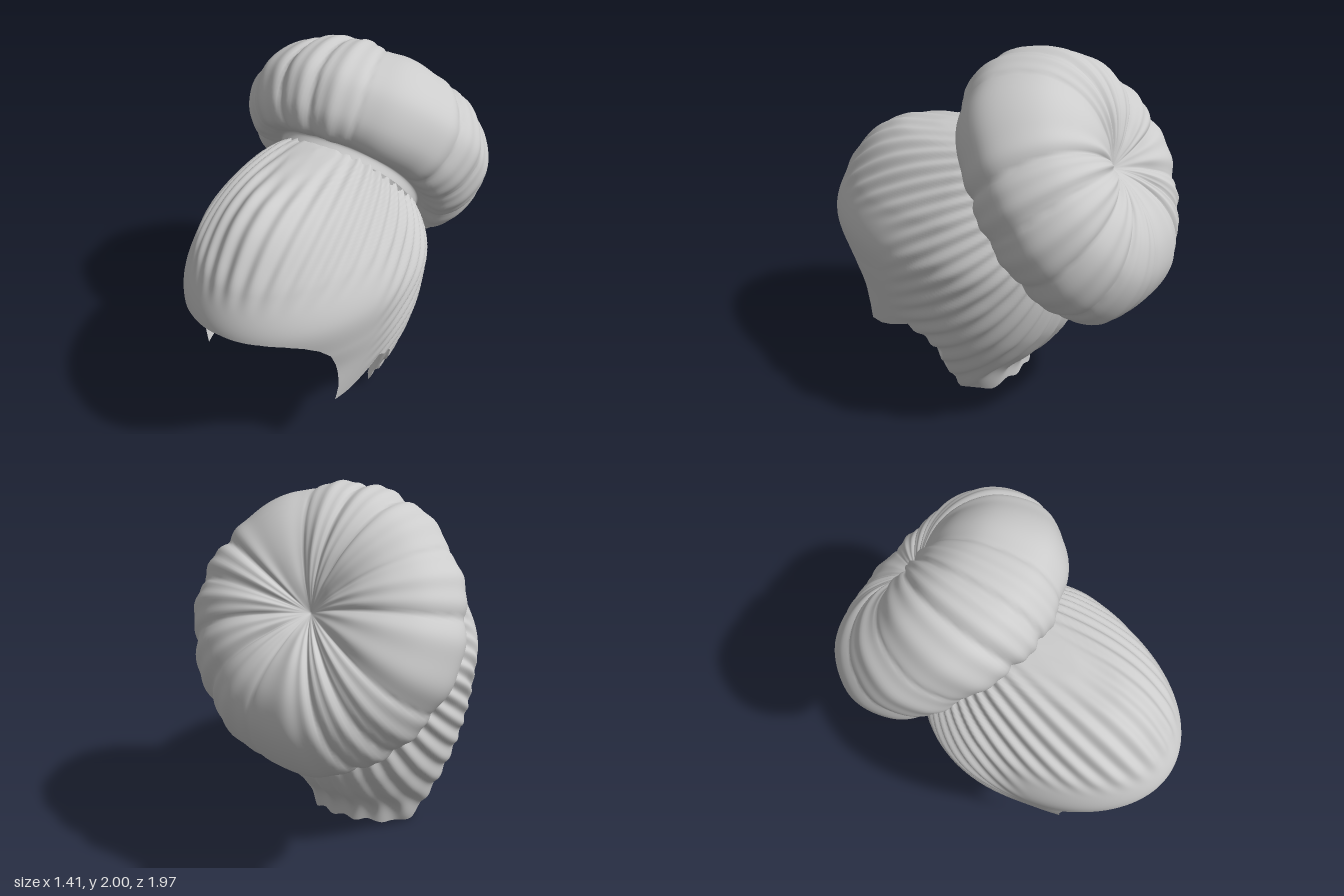
import * as THREE from 'three';
import { mergeVertices } from 'three/addons/utils/BufferGeometryUtils.js';

const mat = new THREE.MeshStandardMaterial({ color: 0xcccccc, side: THREE.DoubleSide });
const { smoothstep, clamp, lerp } = THREE.MathUtils;

// Bun frame: centre and tilt; its axis points up and back
const BUN = new THREE.Vector3(0, 1.315, -0.425);
const TILT = -0.992;

// Cap sections by height: y, half width, reach to the front, reach to the back (from z = CZ)
const CZ = 0.08;
const SECTIONS = [
  [0, 0.32, 1.0, 0.285], [0.15, 0.395, 1.0, 0.3], [0.3, 0.46, 0.96, 0.43], [0.4, 0.495, 0.92, 0.5],
  [0.5, 0.525, 0.87, 0.555], [0.65, 0.56, 0.82, 0.59], [0.8, 0.58, 0.86, 0.6], [1.0, 0.588, 0.89, 0.58],
  [1.2, 0.51, 0.81, 0.5], [1.3, 0.44, 0.745, 0.43], [1.4, 0.35, 0.655, 0.33], [1.46, 0.275, 0.565, 0.25],
  [1.5, 0.2, 0.455, 0.18], [1.53, 0.1, 0.24, 0.09], [1.54, 0, 0, 0],
];

// Lower edge of the cap as z, y: brow and sideburn, then each side behind the ear, then half the nape
const BROW = [[0.968, 0.985], [0.92, 0.972], [0.86, 0.955], [0.79, 0.92], [0.72, 0.865], [0.656, 0.79],
  [0.6, 0.65], [0.58, 0.5], [0.585, 0.4]];
const LEFT_EAR = [[0.51, 0.405], [0.43, 0.44], [0.286, 0.52], [0.19, 0.48], [0.11, 0.41], [0.1, 0.23], [0.06, 0.03]];
const RIGHT_EAR = [[0.47, 0.39], [0.35, 0.36], [0.25, 0.32], [0.19, 0.27], [0.11, 0.15], [0.06, 0.03]];
const NAPE = [[0, 0], [-0.1, 0.01], [-0.17, 0.04], [-0.205, 0.045]];

// Smooth interpolation in the section table
function section(y, k) {
  const T = SECTIONS, n = T.length - 1;
  let i = 0;
  while (i < n - 1 && y > T[i + 1][0]) i++;
  const slope = (j) => {
    const a = T[Math.max(j - 1, 0)], b = T[Math.min(j + 1, n)];
    return (b[k] - a[k]) / (b[0] - a[0]);
  };
  const h = T[i + 1][0] - T[i][0];
  const t = clamp((y - T[i][0]) / h, 0, 1);
  if (i >= n - 2) return lerp(T[i][k], T[i + 1][k], t);
  const t2 = t * t, t3 = t2 * t;
  return (2 * t3 - 3 * t2 + 1) * T[i][k] + (t3 - 2 * t2 + t) * h * slope(i)
    + (3 * t2 - 2 * t3) * T[i + 1][k] + (t3 - t2) * h * slope(i + 1);
}

// Edge of one side as [angle from the front, height]
function edgeAngles(ear) {
  const list = [...BROW, ...ear, ...NAPE].map(([z, y]) => {
    const c = (z - CZ) / section(y, z > CZ ? 2 : 3);
    return [Math.acos(clamp(c, -1, 1)), y];
  });
  list[0][0] = 0;
  list[list.length - 1][0] = Math.PI;
  return list;
}

// Coordinates of a point in the bun's frame
const inBun = (p) => p.clone().sub(BUN).applyAxisAngle(new THREE.Vector3(1, 0, 0), -TILT);

// Point on the cap; strands are ridges that fan out from the bun's axis
function capPoint(a, y) {
  const c = Math.cos(a);
  const p = new THREE.Vector3(section(y, 1) * Math.sin(a), y, CZ + c * section(y, c > 0 ? 2 : 3));
  const b = inBun(p);
  const hairline = smoothstep(p.z, 0.1, 0.45) * (1 - smoothstep(y, 1.1, 1.3));
  const amp = 0.01 * (1 - hairline) * smoothstep(1.54 - y, 0, 0.05);
  const out = p.clone().sub(new THREE.Vector3(0, 0.85, CZ)).normalize();
  return p.addScaledVector(out, amp * Math.sin(42 * Math.atan2(b.x, b.z)));
}

// Open sheet: level rows that stop at the edge, with an opening under the bun
function capGeometry() {
  const left = edgeAngles(LEFT_EAR);
  const right = edgeAngles(RIGHT_EAR).map(([a, y]) => [2 * Math.PI - a, y]).reverse();
  const edge = [...left, ...right.slice(1)];
  const cols = [edge[0]];
  for (let i = 1; i < edge.length; i++) {
    const [a0, y0] = edge[i - 1], [a1, y1] = edge[i];
    const n = Math.max(1, Math.ceil(Math.abs(a1 - a0) / 0.022));
    for (let j = 1; j <= n; j++) cols.push([lerp(a0, a1, j / n), lerp(y0, y1, j / n)]);
  }
  const R = 120, rows = R + 1, pts = [], idx = [];
  const face = (...f) => {
    const m = new THREE.Vector3();
    f.forEach((k) => m.addScaledVector(pts[k], 1 / 3));
    const b = inBun(m);
    if (b.y < -0.5 || Math.hypot(b.x, b.z) > 0.41) idx.push(...f);
  };
  cols.forEach(([a, low], i) => {
    for (let j = 0; j <= R; j++) {
      const y = 1.54 * (1 - Math.pow(j / R, 1.5));
      pts.push(capPoint(a, Math.max(y, low)));
      if (!i || !j) continue;
      const d = i * rows + j - 1, e = d - rows;
      if (pts[e].y !== pts[e + 1].y) face(e, e + 1, d + 1);
      if (pts[d].y !== pts[d + 1].y) face(e, d + 1, d);
    }
  });
  let g = new THREE.BufferGeometry().setFromPoints(pts);
  g.setIndex(idx);
  g = mergeVertices(g, 1e-5);
  g.computeVertexNormals();
  return g;
}

// Pumpkin-shaped bun: a lathe with irregular soft lobes, a pinched centre and a collar on the cap;
// its two sides bend back, away from the cap
function bunGeometry() {
  const profile = [
    [0.43, -0.27], [0.44, -0.22], [0.51, -0.25], [0.6, -0.26], [0.69, -0.18], [0.735, -0.02], [0.69, 0.14],
    [0.59, 0.28], [0.45, 0.36], [0.3, 0.38], [0.16, 0.35], [0.06, 0.3], [0, 0.26],
  ].map(([r, y]) => new THREE.Vector2(r, y));
  const pts = new THREE.SplineCurve(profile).getPoints(72);
  pts.forEach((p) => { p.x = Math.max(p.x, 0); });
  let g = new THREE.LatheGeometry(pts, 240);
  const P = g.attributes.position, p = new THREE.Vector3(), core = new THREE.Vector3();
  for (let i = 0; i < P.count; i++) {
    p.fromBufferAttribute(P, i);
    const r = Math.hypot(p.x, p.z);
    const phi = Math.atan2(p.x, p.z) + 0.2 * p.y;
    const w = phi + 0.12 * Math.sin(3 * phi + 1) + 0.07 * Math.sin(5 * phi);
    const lobes = 0.033 * (Math.sqrt(Math.abs(Math.sin(6.5 * w)) + 0.03) - 0.8)
      + 0.004 * Math.sin(31 * w) + 0.006 * Math.sin(4 * phi + 2);
    const collar = p.y < 0 ? smoothstep(r, 0.43, 0.6) : 1;
    if (r > 1e-4) {
      core.set(p.x / r * 0.42, 0.03, p.z / r * 0.42);
      core.subVectors(p, core).normalize();
      p.addScaledVector(core, lobes * collar * smoothstep(r, 0.02, 0.25));
    }
    const bend = (p.x / 0.7) ** 2 * (0.07 - 0.1 * p.y);
    P.setXYZ(i, p.x * 0.94, p.y + bend, p.z);
  }
  g.deleteAttribute('uv');
  g.deleteAttribute('normal');
  g = mergeVertices(g, 1e-4);
  g.computeVertexNormals();
  return g;
}

export function createModel() {
  const group = new THREE.Group();

  const cap = new THREE.Mesh(capGeometry(), mat);
  cap.name = 'hairCap';

  const bun = new THREE.Mesh(bunGeometry(), mat);
  bun.name = 'hairBun';
  bun.position.copy(BUN);
  bun.rotation.x = TILT;

  group.add(cap, bun);
  return group;
}
